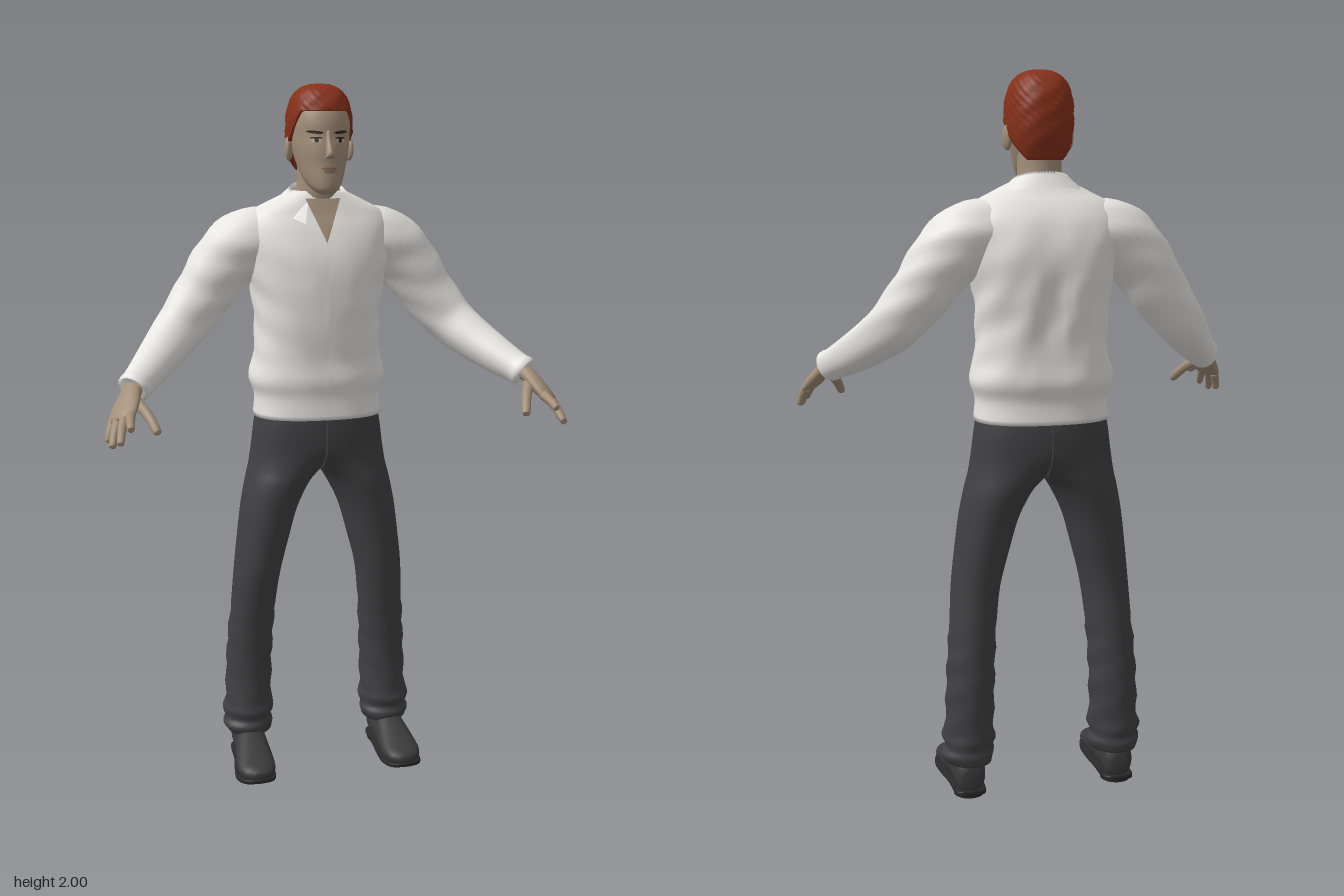
import * as THREE from 'three';

const mat = (name, color, side = THREE.FrontSide) => {
  const m = new THREE.MeshStandardMaterial({ color, side });
  m.name = name;
  return m;
};
const X = new THREE.Vector3(1, 0, 0), Y = new THREE.Vector3(0, 1, 0), Z = new THREE.Vector3(0, 0, 1);

// Smooth capped skin through rows of [x, y, z, radiusA, radiusB].
// T fixes the ring normal (otherwise the path tangent is used), A is the direction of radiusA.
function loft(rows, { T = null, A = X, n = 28, sub = 4, p = 2, warp = null } = {}) {
  const path = new THREE.CatmullRomCurve3(rows.map(r => new THREE.Vector3(r[0], r[1], r[2])), false, 'catmullrom');
  const size = new THREE.CatmullRomCurve3(rows.map(r => new THREE.Vector3(r[3], r[4], 0)), false, 'catmullrom');
  const steps = (rows.length - 1) * sub, pos = [], idx = [];
  const pw = c => Math.sign(c) * Math.abs(c) ** (2 / p);
  for (let i = 0; i <= steps; i++) {
    const c = path.getPoint(i / steps), r = size.getPoint(i / steps);
    const t = T ? T : path.getTangent(i / steps);
    const a = A.clone().addScaledVector(t, -A.dot(t)).normalize();
    const b = new THREE.Vector3().crossVectors(t, a);
    for (let j = 0; j < n; j++) {
      const th = j / n * Math.PI * 2;
      const v = c.clone().addScaledVector(a, r.x * pw(Math.cos(th))).addScaledVector(b, r.y * pw(Math.sin(th)));
      if (warp) warp(v, c, r);
      pos.push(v.x, v.y, v.z);
    }
  }
  for (let i = 0; i < steps; i++) for (let j = 0; j < n; j++) {
    const k = (j + 1) % n, a = i * n + j, b = i * n + k;
    idx.push(a, b, b + n, a, b + n, a + n);
  }
  const s = pos.length / 3, e = steps * n, f = path.getPoint(0), l = path.getPoint(1);
  pos.push(f.x, f.y, f.z, l.x, l.y, l.z);
  for (let j = 0; j < n; j++) {
    const k = (j + 1) % n;
    idx.push(s, k, j, s + 1, e + j, e + k);
  }
  return build(pos, idx);
}

function build(pos, idx) {
  const g = new THREE.BufferGeometry();
  g.setAttribute('position', new THREE.Float32BufferAttribute(pos, 3));
  g.setIndex(idx);
  g.computeVertexNormals();
  return g;
}

// Grid surface from f(u, v) => [x, y, z], u and v in 0..1
function grid(f, nu, nv) {
  const pos = [], idx = [];
  for (let j = 0; j <= nv; j++) for (let i = 0; i <= nu; i++) pos.push(...f(i / nu, j / nv));
  for (let j = 0; j < nv; j++) for (let i = 0; i < nu; i++) {
    const a = j * (nu + 1) + i, c = a + nu + 1;
    idx.push(a, a + 1, c + 1, a, c + 1, c);
  }
  return build(pos, idx);
}

// Thin patch laid on the front of a mesh
function patch(target, f, lift, nu = 10, nv = 6) {
  const ray = new THREE.Raycaster();
  return grid((u, v) => {
    const [x, y] = f(u * 2 - 1, v);
    ray.set(new THREE.Vector3(x, y, 1), new THREE.Vector3(0, 0, -1));
    const hit = ray.intersectObject(target)[0];
    return [x, y, (hit ? hit.point.z : -0.08) + lift];
  }, nu, nv);
}
const oval = (cx, cy, w, h, tilt = 0) => (u, v) =>
  [cx + w * u, cy + tilt * u + h * (2 * v - 1) * Math.sqrt(Math.max(0, 1 - u * u))];

export function createModel() {
  const skin = mat('skin', 0xa28e79), shirt = mat('shirt white', 0xe8e6e2, THREE.DoubleSide);
  const trousers = mat('trouser charcoal', 0x404042), leather = mat('shoe leather', 0x3b3a3b);
  const soleMat = mat('sole black', 0x29292a), hairMat = mat('red hair', 0x86301a, THREE.DoubleSide);
  const dark = mat('brow and iris', 0x33261f), eyeWhite = mat('eye white', 0xb3aaa0), lip = mat('lips', 0x86665a);
  const model = new THREE.Group();
  const add = (name, geo, m, parent = model) => {
    const mesh = new THREE.Mesh(geo, m);
    mesh.name = name;
    parent.add(mesh);
    return mesh;
  };

  // Shirt body with loose folds, a hollow along the spine and a gathered waist
  const torso = add('shirtBody', loft([
    [0, 1.07, -.125, .187, .132], [0, 1.13, -.125, .183, .130], [0, 1.18, -.128, .198, .140],
    [0, 1.24, -.128, .185, .137], [0, 1.32, -.125, .179, .142], [0, 1.42, -.128, .186, .149],
    [0, 1.52, -.131, .206, .146], [0, 1.60, -.132, .216, .123], [0, 1.65, -.128, .192, .096],
    [0, 1.68, -.120, .140, .077], [0, 1.71, -.115, .078, .060]
  ], {
    T: Y, n: 56, sub: 5, p: 2.4, warp: (v, c) => {
      const mid = Math.sin(Math.PI * THREE.MathUtils.clamp((v.y - 1.14) / .5, 0, 1));
      if (v.z < c.z) v.z += .016 * mid * Math.exp(-((v.x / .035) ** 2));
      v.z += .003 * mid * Math.sin(v.x * 55 + v.y * 24);
      v.x += .003 * mid * Math.sin(v.y * 60 + v.z * 30);
    }
  }), shirt);
  add('buttonPlacket', patch(torso, (u, v) => [u * .012, 1.08 + v * .49], .003, 2, 30), shirt);
  add('openNeckline', patch(torso, (u, v) => [u * .05 * v, 1.57 + v * .12], .004, 10, 12), skin);

  // Folded collar, open at the front: a standing band, then the fall
  add('collar', grid((u, v) => {
    const th = .5 + u * (Math.PI * 2 - 1), c = Math.cos(th), f = (1 + c) / 2;
    const top = 1.737 - .04 * f, fall = Math.max(0, v - .25) / .75;
    const y = v < .25 ? top - .035 * (1 - v / .25) : top - fall * (.042 + .045 * f ** 4);
    return [(.076 + .046 * fall) * Math.sin(th), y, -.116 + (.063 + .006 * c + fall * (.042 + .016 * c)) * c];
  }, 48, 8), shirt);

  // Neck and head
  add('neck', loft([[0, 1.60, -.13, .07, .06], [0, 1.68, -.112, .066, .066], [0, 1.73, -.103, .06, .062],
    [0, 1.80, -.1, .06, .062]], { T: Y }), skin);
  const head = add('head', loft([
    [0, 1.703, -.012, .016, .025], [0, 1.715, -.017, .035, .043], [0, 1.74, -.042, .052, .070],
    [0, 1.78, -.064, .066, .089], [0, 1.82, -.076, .076, .101], [0, 1.86, -.085, .081, .104],
    [0, 1.90, -.088, .083, .104], [0, 1.94, -.092, .074, .092], [0, 1.97, -.092, .04, .05]
  ], { T: Y, n: 40, p: 2.1 }), skin);
  add('nose', loft([[0, 1.875, .010, .007, .008], [0, 1.845, .021, .008, .012], [0, 1.812, .036, .011, .016],
    [0, 1.798, .028, .014, .012]], { T: Y.clone().negate(), n: 16 }), skin);
  add('upperLip', patch(head, oval(0, 1.772, .022, .004), .006), lip);
  add('lowerLip', patch(head, oval(0, 1.764, .017, .005), .005), lip);
  for (const s of [1, -1]) {
    add('eye', patch(head, oval(s * .034, 1.847, .014, .006), .003), eyeWhite);
    add('iris', patch(head, oval(s * .033, 1.847, .006, .0055), .005), dark);
    add('upperLid', patch(head, oval(s * .034, 1.854, .016, .0025), .006), dark);
    add('eyebrow', patch(head, oval(s * .036, 1.869, .022, .004, s * .002), .005), dark);
    const ear = add('ear', new THREE.SphereGeometry(1, 16, 12), skin);
    ear.scale.set(.011, .034, .021);
    ear.position.set(s * .086, 1.825, -.095);
    ear.rotation.set(-.15, s * .35, 0);
  }

  // Short hair: a tousled cap whose lower edge follows forehead, temples and nape
  add('hair', grid((u, v) => {
    const th = u * Math.PI * 2, c = Math.cos(th);           // th = 0 at the forehead
    const edge = c > 0 ? 1.84 + .085 * Math.min(1, c * 1.5) ** 1.3 : 1.84 - .075 * Math.min(1, -c * 1.3);
    const k = Math.min(1, v / .94), y = 2 - (2 - edge) * k ** 1.8, d = y - 1.87;
    let r = d > 0 ? Math.max(0, 1 - (d / .13) ** 2.7) ** (1 / 2.7) : 1 - .24 * (d / .11) ** 2;
    if (v > .95) r *= .87;
    const rough = 1 + .02 * Math.sin(th * 14 + y * 90) * Math.sin(y * 210 + th * 6) * Math.min(1, k * 3);
    const q = t => Math.sign(t) * Math.abs(t) ** .84;
    return [.090 * r * rough * q(Math.sin(th)), y, -.095 + .113 * r * rough * q(c)];
  }, 80, 36), hairMat);

  for (const s of [1, -1]) {
    const side = rows => rows.map(([x, ...r]) => [x * s, ...r]);

    // One half of the trousers: crumpled hem, leg, then a half seat that meets its twin at x = 0
    const leg = new THREE.Group();
    leg.name = s > 0 ? 'leftLeg' : 'rightLeg';
    model.add(leg);
    add('trouserLeg', loft(side([
      [.214, .095, -.138, .066, .074], [.216, .12, -.137, .076, .080], [.214, .14, -.139, .068, .074],
      [.214, .165, -.138, .075, .079], [.212, .20, -.141, .069, .074], [.209, .30, -.144, .068, .072],
      [.204, .40, -.138, .067, .072], [.196, .50, -.128, .066, .077], [.186, .60, -.116, .069, .085],
      [.168, .70, -.116, .076, .094], [.147, .80, -.118, .084, .103], [.119, .88, -.122, .096, .113],
      [.103, .92, -.125, .102, .118], [.0975, .98, -.126, .0975, .123], [.0935, 1.04, -.126, .0935, .125],
      [.088, 1.10, -.125, .088, .120]
    ]), {
      T: Y, n: 40, warp: (v, c, r) => {
        if (v.y < .5) v.x += .003 * Math.sin(v.y * 70 + v.z * 40);
        const f = Math.min(1, Math.abs(v.x) / (Math.abs(c.x) + r.x));
        const half = c.z + Math.sign(v.z - c.z) * r.y * (1 - f ** 2.3) ** (1 / 2.3);
        v.z = THREE.MathUtils.lerp(v.z, half, THREE.MathUtils.smoothstep(v.y, .86, .98));
        if (v.x * s < 0) v.x = 0;
      }
    }), trousers, leg);

    // Shoe, sole and heel
    add('shoe', loft(side([
      [.217, .055, -.203, .025, .030], [.217, .062, -.185, .041, .050], [.217, .068, -.14, .046, .057],
      [.218, .064, -.08, .048, .053], [.221, .051, -.02, .054, .041], [.223, .041, .035, .056, .029],
      [.222, .037, .072, .044, .021], [.221, .035, .090, .018, .010]
    ]), { T: Z, n: 28, p: 2.2 }), leather, leg);
    add('sole', loft(side([
      [.217, .015, -.205, .026, .008], [.217, .013, -.185, .044, .009], [.218, .012, -.10, .048, .009],
      [.222, .010, -.02, .057, .008], [.224, .012, .035, .059, .008], [.223, .017, .075, .046, .008],
      [.222, .021, .092, .018, .006]
    ]), { T: Z, n: 28, p: 4 }), soleMat, leg);
    const heel = add('heel', new THREE.CylinderGeometry(.044, .044, .02, 24), soleMat, leg);
    heel.position.set(s * .217, .010, -.158);

    // Sleeve bent forward at the elbow
    const arm = new THREE.Group();
    arm.name = s > 0 ? 'leftArm' : 'rightArm';
    model.add(arm);
    add('sleeve', loft(side([
      [.06, 1.56, -.137, .070, .070], [.13, 1.572, -.139, .088, .090], [.20, 1.565, -.140, .093, .096],
      [.265, 1.510, -.138, .084, .092], [.33, 1.42, -.130, .074, .082], [.394, 1.340, -.107, .066, .073],
      [.447, 1.288, -.052, .059, .063], [.50, 1.243, .018, .050, .053], [.54, 1.213, .073, .043, .045],
      [.555, 1.203, .095, .045, .045], [.559, 1.200, .100, .036, .036]
    ]), {
      A: Z, n: 32, sub: 5, warp: (v, c) => {
        const w = 1 + .025 * Math.sin(v.y * 75 + v.z * 45);
        v.sub(c).multiplyScalar(w).add(c);
      }
    }), shirt, arm);

    // Palm, thumb and fingers
    const across = new THREE.Vector3(.09 * s, -.04, -.09).normalize();
    add('palm', loft(side([[.545, 1.212, .08, .030, .024], [.563, 1.195, .112, .032, .022],
      [.58, 1.170, .145, .043, .020], [.596, 1.143, .178, .046, .017], [.602, 1.133, .190, .036, .011]]),
      { A: across, n: 20 }), skin, arm);
    const fingers = {
      thumb: [[.556, 1.178, .135], [.530, 1.148, .185], [.512, 1.112, .230]],
      indexFinger: [[.574, 1.155, .190], [.580, 1.143, .235], [.583, 1.130, .271]],
      middleFinger: [[.590, 1.145, .185], [.602, 1.118, .228], [.609, 1.092, .259]],
      ringFinger: [[.605, 1.138, .172], [.619, 1.106, .205], [.627, 1.079, .228]],
      littleFinger: [[.616, 1.133, .158], [.628, 1.106, .174], [.634, 1.083, .184]]
    };
    for (const [name, pts] of Object.entries(fingers)) {
      const r = name === 'thumb' ? .016 : .0135;
      const tip = pts[2].map((c, i) => c + (c - pts[1][i]) * .12);
      const rows = [...pts.map((q, i) => [...q, r * (1 - i * .14), r * (1 - i * .14)]), [...tip, r * .3, r * .3]];
      add(name, loft(side(rows), { A: across, n: 12 }), skin, arm);
    }
  }
  return model;
}
